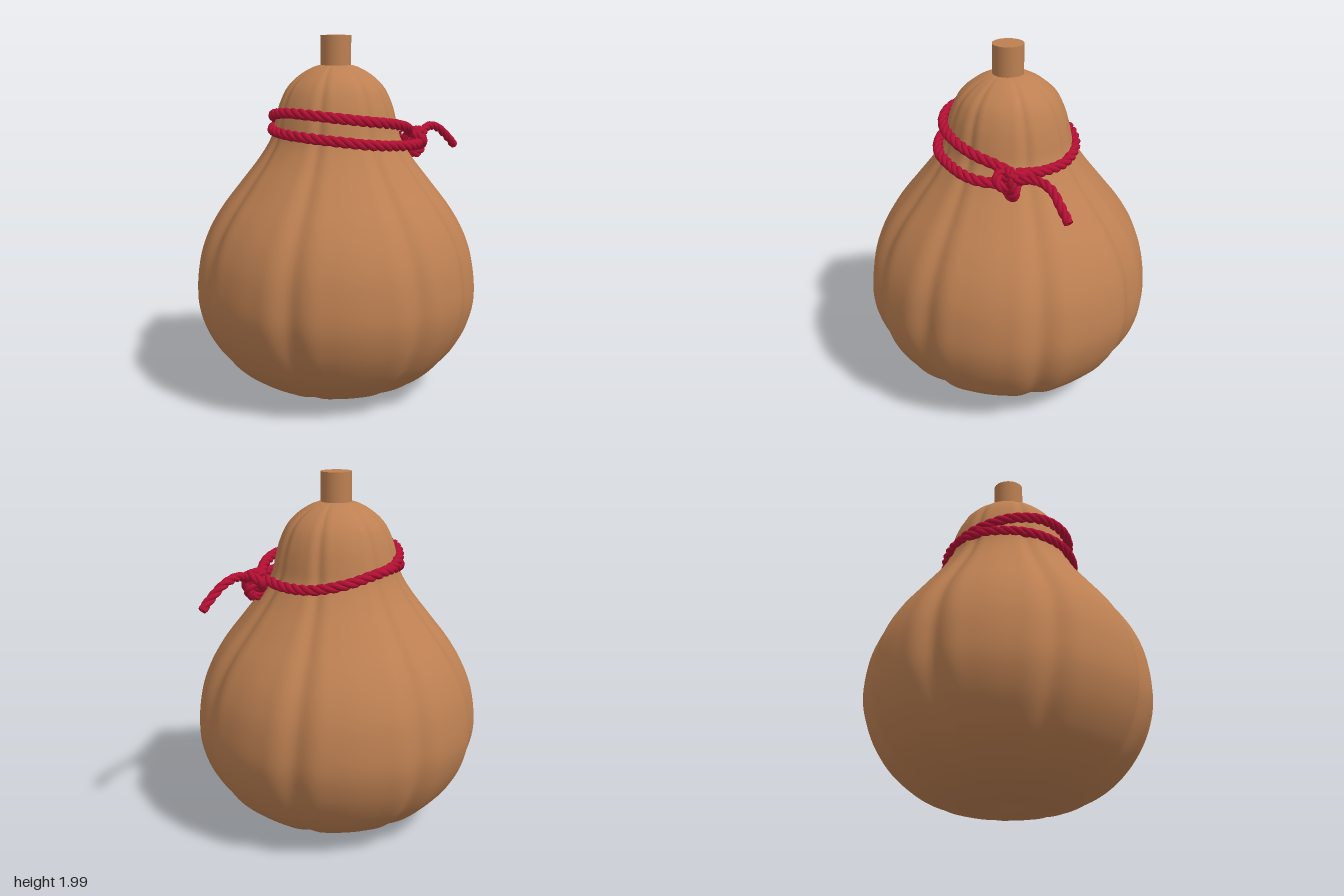
import * as THREE from 'three';
import { mergeVertices, mergeGeometries } from 'three/addons/utils/BufferGeometryUtils.js';

const AXIS_X = -0.01;
const GROOVES = [24, 74, 106, 155, 203, 249, 287, 339].map(THREE.MathUtils.degToRad);

// Gourd: lathe whose radius is pressed in along slightly wandering ribs
function gourdGeometry() {
  const profile = [
    [0, 0.025], [0.1, 0.01], [0.22, 0.012], [0.36, 0.035], [0.49, 0.095], [0.6, 0.18], [0.68, 0.275], [0.75, 0.41],
    [0.785, 0.57], [0.768, 0.76], [0.72, 0.91], [0.64, 1.05], [0.525, 1.2], [0.425, 1.33], [0.36, 1.44],
    [0.335, 1.54], [0.31, 1.63], [0.265, 1.72], [0.19, 1.79], [0.1, 1.835], [0, 1.845],
  ].map(([r, y]) => new THREE.Vector2(r, y));
  const points = new THREE.SplineCurve(profile).getSpacedPoints(100);
  points.forEach((p) => { p.x = Math.max(0, p.x); });
  let geo = new THREE.LatheGeometry(points, 200);
  const pos = geo.attributes.position;
  for (let i = 0; i < pos.count; i++) {
    const x = pos.getX(i), y = pos.getY(i), z = pos.getZ(i);
    const angle = Math.atan2(z, x);
    let dent = 0;
    GROOVES.forEach((g, k) => {
      const a = angle - g - 0.03 * Math.sin(y * 3 + k * 2);
      const d = Math.atan2(Math.sin(a), Math.cos(a));
      dent += 0.03 * Math.exp(-((d / 0.07) ** 2)) - 0.008 * Math.exp(-(((Math.abs(d) - 0.16) / 0.07) ** 2));
    });
    const s = 1 - dent;
    pos.setXYZ(i, x * s, Math.max(0, y), z * s);
  }
  geo.deleteAttribute('uv');
  geo.deleteAttribute('normal');
  geo = mergeVertices(geo, 1e-5);
  geo.computeVertexNormals();
  return geo;
}

// Rope: three round strands twisted around a path
function ropeGeometry(path, closed = false, size = 0.029) {
  const length = path.getLength();
  const steps = Math.ceil(length / 0.012);
  const frames = path.computeFrenetFrames(steps, closed);
  const turns = Math.max(1, Math.round(length / 0.16));
  const centers = path.getSpacedPoints(steps);
  const parts = [];
  for (let s = 0; s < 3; s++) {
    const strand = [];
    for (let i = 0; i <= steps; i++) {
      const a = (i / steps) * turns * Math.PI * 2 + (s * Math.PI * 2) / 3;
      strand.push(centers[i].clone()
        .addScaledVector(frames.normals[i], Math.cos(a) * size * 0.48)
        .addScaledVector(frames.binormals[i], Math.sin(a) * size * 0.48));
    }
    if (closed) strand.pop();
    const curve = new THREE.CatmullRomCurve3(strand, closed);
    parts.push(new THREE.TubeGeometry(curve, steps, size * 0.56, 8, closed));
  }
  return mergeGeometries(parts);
}

const curveThrough = (list) => new THREE.CatmullRomCurve3(list.map((p) => new THREE.Vector3(...p)));

export function createModel() {
  const group = new THREE.Group();
  const skin = new THREE.MeshStandardMaterial({ name: 'gourd brown', color: 0xbd8052 });
  const red = new THREE.MeshStandardMaterial({ name: 'rope red', color: 0xb30f33 });
  const add = (name, geo, mat, parent = group) => {
    const mesh = new THREE.Mesh(geo, mat);
    mesh.name = name;
    parent.add(mesh);
    return mesh;
  };

  add('gourdBody', gourdGeometry(), skin).position.x = AXIS_X;
  add('stem', new THREE.CylinderGeometry(0.085, 0.085, 0.19, 40), skin).position.set(AXIS_X, 1.905, 0);

  const rope = new THREE.Group();
  rope.name = 'rope';
  group.add(rope);

  // Lower turn: from the knot round the right, back and left to the knot
  add('lowerTurn', ropeGeometry(curveThrough([
    [0.34, 1.44, 0.22], [0.365, 1.42, 0.08], [0.35, 1.42, -0.1], [0.26, 1.45, -0.25], [0.12, 1.485, -0.33],
    [-0.02, 1.5, -0.347], [-0.17, 1.495, -0.31], [-0.3, 1.485, -0.2], [-0.365, 1.48, -0.04], [-0.35, 1.47, 0.13],
    [-0.27, 1.455, 0.27], [-0.14, 1.435, 0.37], [0.02, 1.42, 0.405], [0.17, 1.41, 0.405], [0.27, 1.405, 0.36],
    [0.34, 1.4, 0.28],
  ])), red, rope);

  // Upper turn: branches off behind and rises round the left
  add('upperTurn', ropeGeometry(curveThrough([
    [0.08, 1.49, -0.335], [-0.05, 1.51, -0.345], [-0.18, 1.54, -0.3], [-0.3, 1.575, -0.19], [-0.36, 1.595, -0.03],
    [-0.34, 1.59, 0.13], [-0.26, 1.575, 0.25], [-0.13, 1.555, 0.33], [0.02, 1.535, 0.36], [0.16, 1.51, 0.345],
    [0.26, 1.485, 0.3], [0.34, 1.45, 0.25],
  ])), red, rope);

  // Knot: an interlaced trefoil with a wrap and a filled middle
  const knot = new THREE.Group();
  knot.name = 'knot';
  knot.position.set(0.355, 1.412, 0.275);
  knot.rotation.y = 0.75;
  rope.add(knot);
  const trefoil = [];
  for (let i = 0; i < 36; i++) {
    const t = (i / 36) * Math.PI * 2;
    trefoil.push(new THREE.Vector3(
      0.024 * (Math.sin(t) + 2 * Math.sin(2 * t)),
      0.025 * (Math.cos(t) - 2 * Math.cos(2 * t)),
      -0.036 * Math.sin(3 * t)));
  }
  add('knotLoops', ropeGeometry(new THREE.CatmullRomCurve3(trefoil, true), true, 0.027), red, knot);
  const ring = [];
  for (let i = 0; i < 16; i++) {
    const t = (i / 16) * Math.PI * 2;
    ring.push(new THREE.Vector3(0.02 * Math.sin(t), 0.056 * Math.cos(t), 0.05 * Math.sin(t)));
  }
  add('knotWrap', ropeGeometry(new THREE.CatmullRomCurve3(ring, true), true, 0.027), red, knot);
  add('knotCore', new THREE.SphereGeometry(0.045, 16, 12), red, knot);

  // Loose tail with a closed tip
  const tail = curveThrough([
    [0.36, 1.42, 0.29], [0.42, 1.445, 0.28], [0.49, 1.47, 0.255], [0.56, 1.475, 0.24], [0.64, 1.455, 0.238],
    [0.71, 1.405, 0.248], [0.78, 1.345, 0.255],
  ]);
  add('tail', ropeGeometry(tail, false, 0.025), red, rope);
  const tip = add('tailTip', new THREE.CylinderGeometry(0.022, 0.022, 0.02, 16), red, rope);
  const direction = tail.getTangent(1);
  tip.position.copy(tail.getPoint(1)).addScaledVector(direction, -0.008);
  tip.quaternion.setFromUnitVectors(new THREE.Vector3(0, 1, 0), direction);

  return group;
}
